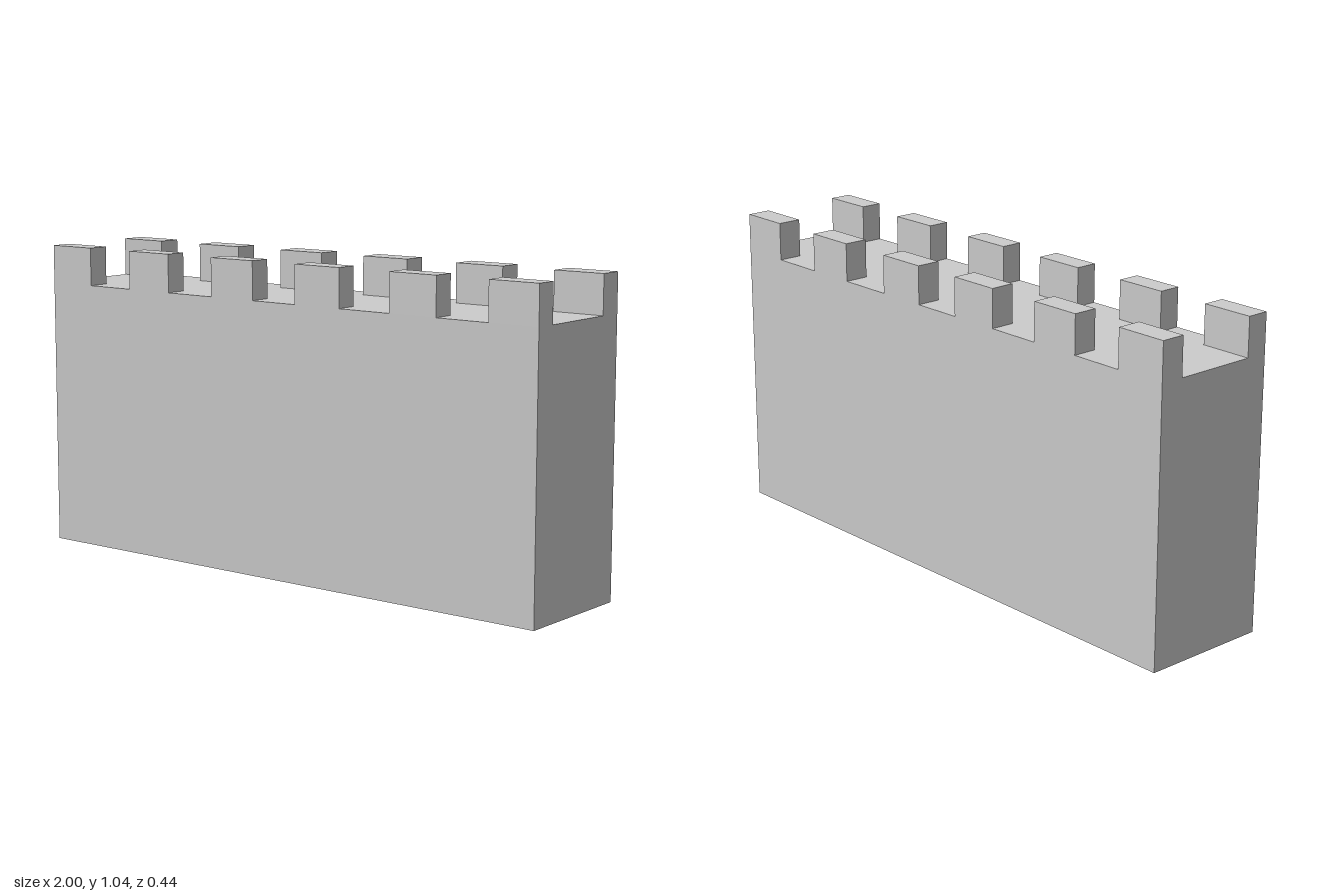
import * as THREE from 'three';

export function createModel() {
  const model = new THREE.Group();
  model.name = 'castleWall';
  const stone = new THREE.MeshStandardMaterial({ color: 0xcccccc, flatShading: true });

  const length = 2, depth = 0.44, wallHeight = 0.912, topHeight = 1.041;

  // Box given by its lower and upper limits on each axis
  function addBox(name, [x0, x1], [y0, y1], [z0, z1], parent) {
    const mesh = new THREE.Mesh(new THREE.BoxGeometry(x1 - x0, y1 - y0, z1 - z0), stone);
    mesh.position.set((x0 + x1) / 2, (y0 + y1) / 2, (z0 + z1) / 2);
    mesh.name = name;
    parent.add(mesh);
  }

  // Solid wall with a flat walkway on top
  addBox('wall', [-length / 2, length / 2], [0, wallHeight], [-depth / 2, depth / 2], model);

  // Two rows of merlons along the long edges
  const merlonWidth = 0.178;
  const merlonStarts = [-1, -0.64, -0.273, 0.081, 0.454, 1 - merlonWidth];
  const rows = { frontMerlons: [0.145, depth / 2], backMerlons: [-depth / 2, -0.137] };
  for (const [name, zRange] of Object.entries(rows)) {
    const row = new THREE.Group();
    row.name = name;
    for (const x of merlonStarts) {
      addBox('merlon', [x, x + merlonWidth], [wallHeight, topHeight], zRange, row);
    }
    model.add(row);
  }

  return model;
}
